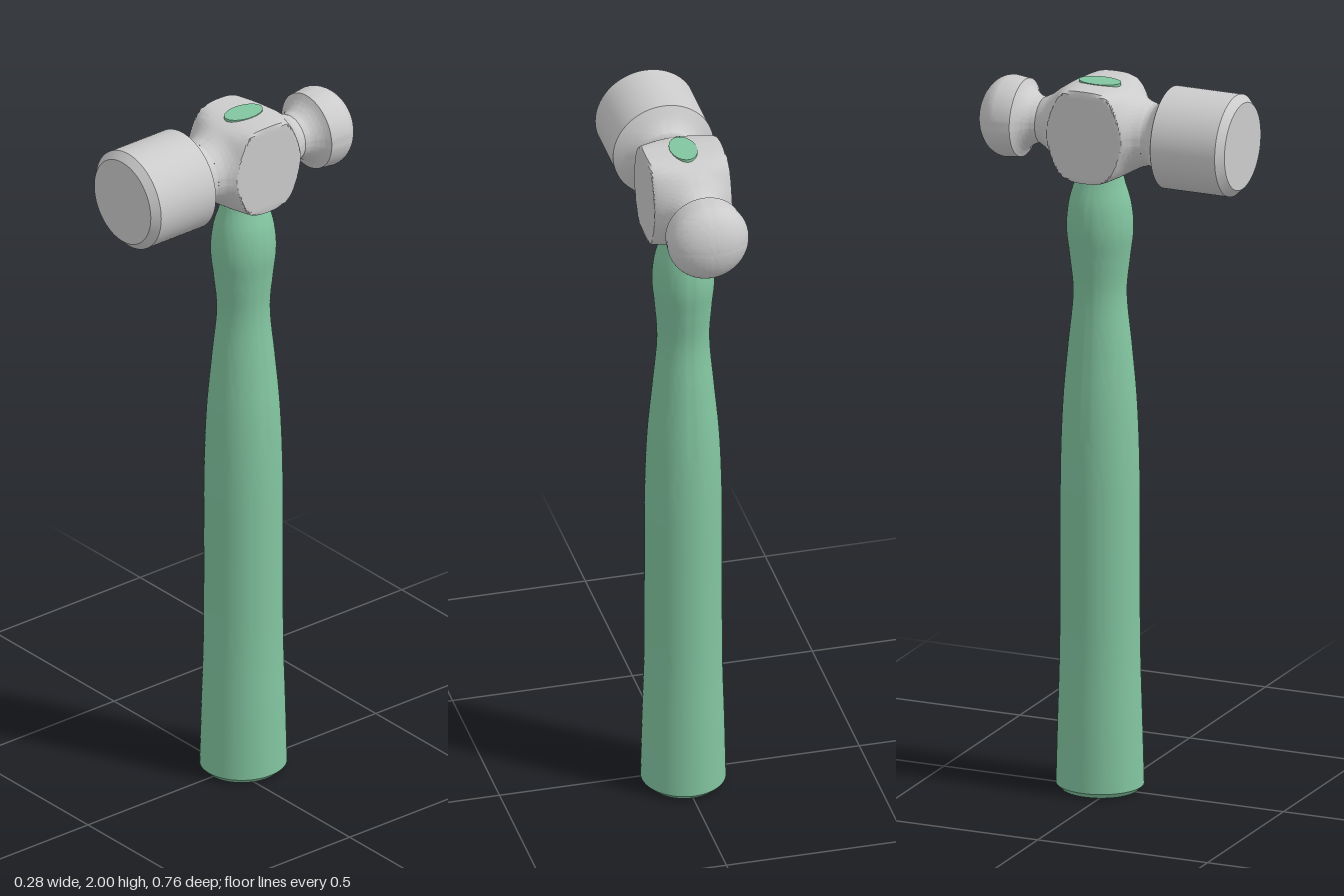
import * as THREE from 'three';
import { toCreasedNormals } from 'three/addons/utils/BufferGeometryUtils.js';

const steel = new THREE.MeshStandardMaterial({ color: 0xcccccc });
const green = new THREE.MeshStandardMaterial({ color: 0x82c5a0 });
const HEAD_Y = 1.86;
const CHEEK = 0.108; // half-width between the flat cheeks

// Smoothly resample stations of [position, half-width, half-depth]
function smooth(stations, count) {
  const curve = new THREE.CatmullRomCurve3(stations.map((s) => new THREE.Vector3(...s)), false, 'centripetal');
  return curve.getPoints(count).map((p) => p.toArray());
}

// Loft superelliptic sections along +y; each ray is cut off at |x| = limit
function loft(sections, sides, exponent, limit = Infinity) {
  const pos = [], index = [];
  for (const [y, w, d] of sections) {
    const n = exponent(w);
    for (let j = 0; j <= sides; j++) {
      const a = ((j % sides) / sides) * Math.PI * 2;
      const c = Math.cos(a), s = Math.sin(a);
      let r = 0;
      if (w > 0) {
        r = Math.pow(Math.pow(Math.abs(c) / w, n) + Math.pow(Math.abs(s) / d, n), -1 / n);
        r = Math.min(r, limit / Math.max(Math.abs(c), 1e-6));
      }
      pos.push(r * c, y, r * s);
    }
  }
  const row = sides + 1;
  for (let i = 0; i < sections.length - 1; i++) {
    for (let j = 0; j < sides; j++) {
      const a = i * row + j, b = a + row;
      if (sections[i + 1][1] > 0) index.push(a, b, b + 1);
      if (sections[i][1] > 0) index.push(a, b + 1, a + 1);
    }
  }
  const geo = new THREE.BufferGeometry();
  geo.setAttribute('position', new THREE.Float32BufferAttribute(pos, 3));
  geo.setIndex(index);
  return geo;
}

function part(name, geo, material) {
  const mesh = new THREE.Mesh(toCreasedNormals(geo, 0.45), material);
  mesh.name = name;
  return mesh;
}

// Turned part of the head; points are [radius, z] from back to front
function turned(name, points) {
  const geo = new THREE.LatheGeometry(points.map(([r, z]) => new THREE.Vector2(r, z)), 72);
  return part(name, geo.rotateX(Math.PI / 2), steel);
}

// Smooth [radius, z] run for a hollow neck
function neckRun(points, count = 16) {
  return new THREE.SplineCurve(points.map((p) => new THREE.Vector2(...p))).getPoints(count).map((p) => p.toArray());
}

export function createModel() {
  const model = new THREE.Group();
  model.name = 'ballPeenHammer';

  // Handle: oval sections, chamfered butt, swelling below the head
  const grip = smooth([
    [0.015, 0.115, 0.12], [0.2, 0.111, 0.115], [0.38, 0.106, 0.11], [0.65, 0.105, 0.108],
    [0.92, 0.104, 0.107], [1.1, 0.097, 0.1], [1.25, 0.083, 0.087], [1.4, 0.071, 0.073],
    [1.5, 0.077, 0.083], [1.58, 0.084, 0.092], [1.65, 0.077, 0.086], [1.73, 0.051, 0.066],
    [1.8, 0.038, 0.06], [1.9, 0.037, 0.06], [1.992, 0.037, 0.06],
  ], 90);
  const handle = part('handle', loft(
    [[0, 0, 0], [0, 0.1, 0.105], ...grip, [1.992, 0, 0]], 64, () => 2), green);
  handle.position.z = -0.04;
  model.add(handle);

  const head = new THREE.Group();
  head.name = 'head';
  head.position.y = HEAD_Y;
  model.add(head);

  // Eye block: round at both necks, squared in the middle, with flat cheeks
  const block = smooth([
    [-0.205, 0.063, 0.063], [-0.178, 0.078, 0.078], [-0.15, 0.108, 0.1], [-0.12, 0.138, 0.117],
    [-0.08, 0.165, 0.128], [-0.04, 0.17, 0.13], [0, 0.165, 0.128], [0.04, 0.135, 0.118],
    [0.07, 0.108, 0.103], [0.092, 0.092, 0.092], [0.115, 0.085, 0.085],
  ], 80);
  const squareness = (w) => 2 + 5 * THREE.MathUtils.clamp((w - 0.1) / 0.07, 0, 1) ** 2;
  head.add(part('eyeBlock', loft(block, 128, squareness, CHEEK).rotateX(Math.PI / 2), steel));

  // Ball peen with its neck
  const dome = [];
  for (let i = 0; i <= 16; i++) {
    const a = (i / 16) * Math.PI / 2;
    dome.push([0.112 * Math.sin(a), -0.302 - 0.08 * Math.cos(a)]);
  }
  head.add(turned('ballPeen', [
    ...dome, [0.107, -0.26],
    ...neckRun([[0.1, -0.257], [0.083, -0.245], [0.068, -0.225], [0.063, -0.205]]),
  ]));

  // Striking poll with its neck and chamfered face
  head.add(turned('poll', [
    ...neckRun([[0.085, 0.115], [0.088, 0.13], [0.107, 0.15], [0.14, 0.17]]),
    [0.14, 0.36], [0.12, 0.38], [0, 0.38],
  ]));

  return model;
}
